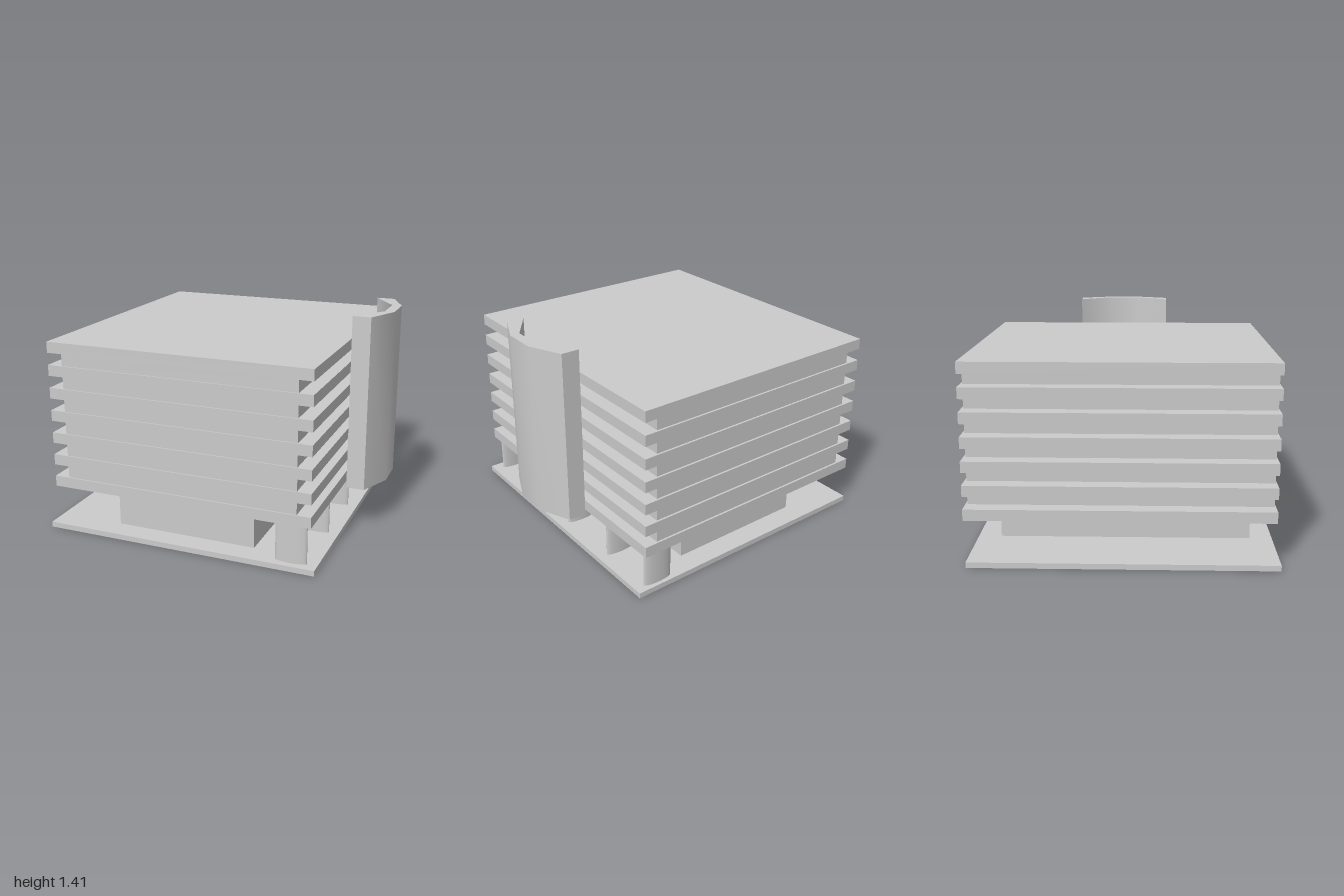
import * as THREE from 'three';
import { toCreasedNormals } from 'three/addons/utils/BufferGeometryUtils.js';

export function createModel() {
  const model = new THREE.Group();
  model.name = 'pavilionBuilding';
  const material = new THREE.MeshStandardMaterial({ color: 0xcccccc });

  const add = (name, geometry) => {
    const mesh = new THREE.Mesh(geometry, material);
    mesh.name = name;
    model.add(mesh);
    return mesh;
  };

  // Box given by its extents on each axis
  const box = (name, x0, x1, y0, y1, z0, z1) =>
    add(name, new THREE.BoxGeometry(x1 - x0, y1 - y0, z1 - z0))
      .position.set((x0 + x1) / 2, (y0 + y1) / 2, (z0 + z1) / 2);

  // Ground plate and recessed ground floor
  box('basePlate', -1, 0.79, 0, 0.035, -0.932, 0.943);
  box('groundFloorCore', -0.57, 0.36, 0.035, 0.285, -0.787, 0.8);

  // Overhanging floor slabs with recessed storeys between them
  const floors = 7, pitch = 0.1475, slab = 0.07, bottom = 0.285;
  for (let i = 0; i < floors; i++) {
    const y = bottom + i * pitch;
    box('floorSlab' + (i + 1), -0.966, 0.755, y, y + slab, -0.945, 0.915);
    if (i < floors - 1) box('storey' + (i + 1), -0.87, 0.665, y + slab, y + pitch, -0.932, 0.907);
  }

  // Row of flattened columns along the left side
  [0.877, 0.42, -0.037, -0.493, -0.883].forEach((z, i) => {
    const column = add('column' + (i + 1), new THREE.CylinderGeometry(0.1, 0.1, 0.25, 32));
    column.scale.z = 0.25;
    column.position.set(0.625, 0.16, z);
  });

  // Tall curved screen standing off the left side, as [x, z] plan points
  const plan = [
    [0.79, -0.358], [0.905, -0.358], [0.998, -0.145], [0.998, 0.068],
    [0.905, 0.28], [0.79, 0.28], [0.937, 0.068], [0.937, -0.145],
  ];
  const shape = new THREE.Shape(plan.map(([x, z]) => new THREE.Vector2(x, -z)));
  const screen = new THREE.ExtrudeGeometry(shape, { depth: 1.115, bevelEnabled: false });
  screen.rotateX(-Math.PI / 2);
  add('curvedScreen', toCreasedNormals(screen, 0.7)).position.y = 0.297;

  return model;
}
